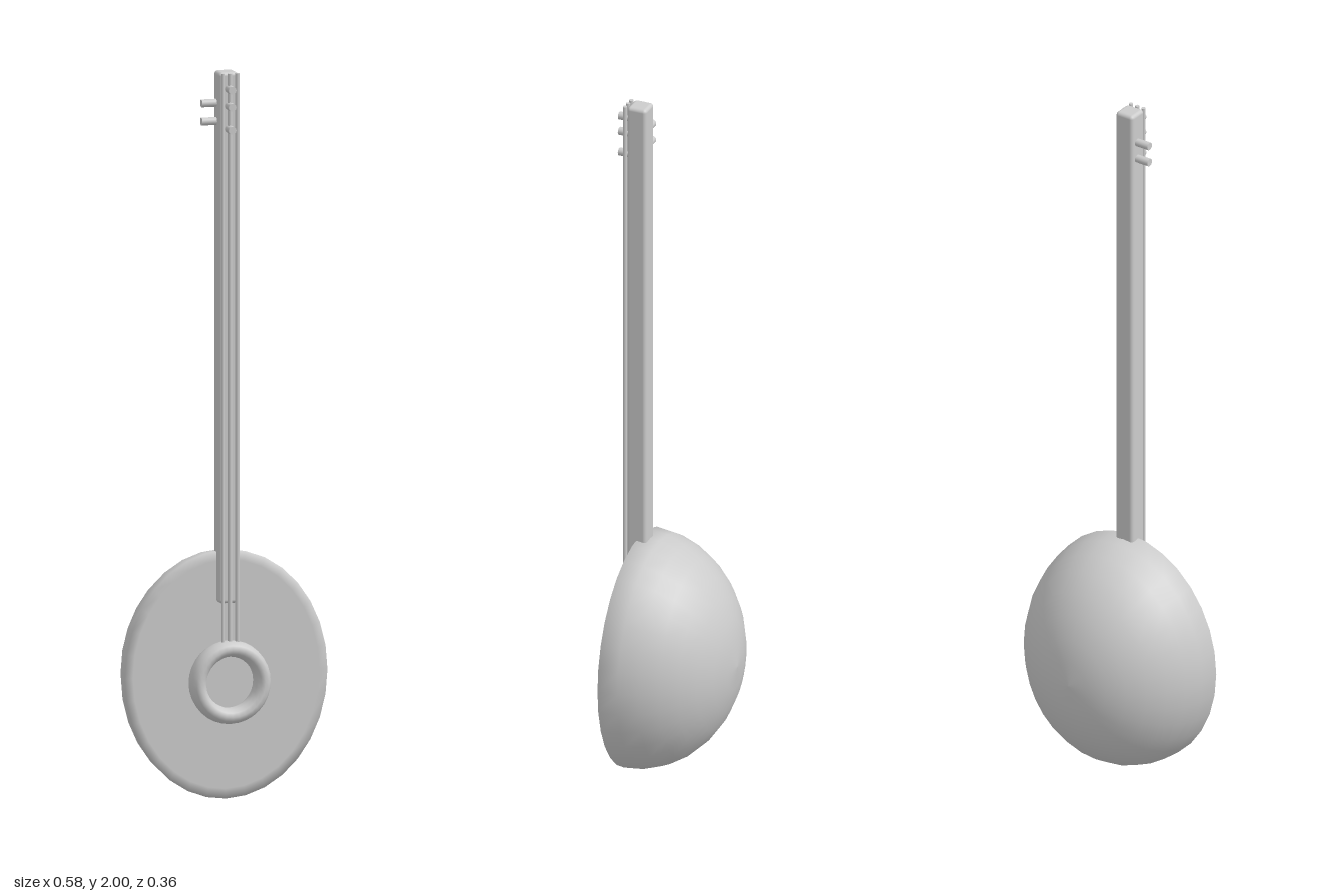
import * as THREE from 'three';
import { RoundedBoxGeometry } from 'three/addons/geometries/RoundedBoxGeometry.js';

export function createModel() {
  const model = new THREE.Group();
  const material = new THREE.MeshStandardMaterial({ color: 0xcccccc });
  const add = (name, geometry, x, y, z) => {
    const mesh = new THREE.Mesh(geometry, material);
    mesh.name = name;
    mesh.position.set(x, y, z);
    model.add(mesh);
    return mesh;
  };

  // Bowl: half ellipsoid with a flat soundboard, softly shaded at its rim
  const faceZ = 0.11, radius = 0.288, halfHeight = 0.342;
  const profile = [];
  for (let i = 0; i <= 8; i++) {
    const a = (i / 8) * Math.PI / 2;
    profile.push(new THREE.Vector2(radius * Math.sin(a), -radius * Math.cos(a)));
  }
  profile.push(new THREE.Vector2(radius * 0.92, 0), new THREE.Vector2(0, 0));
  const bowl = new THREE.LatheGeometry(profile, 32);
  bowl.rotateX(Math.PI / 2);
  bowl.scale(1, halfHeight / radius, 1);
  add('body', bowl, 0, halfHeight, faceZ);

  // Raised ring on the soundboard, deeper than it is wide
  const ring = new THREE.TorusGeometry(0.0925, 0.0225, 12, 32);
  ring.scale(1, 1, 1.6);
  add('soundRing', ring, 0, 0.325, 0.142);

  // Neck
  add('neck', new RoundedBoxGeometry(0.057, 1.46, 0.057, 3, 0.01), 0, 1.27, 0.11);

  // Strings from the ring to the top of the neck
  for (const x of [-0.02, 0.001, 0.022]) {
    add('string', new THREE.CylinderGeometry(0.006, 0.006, 1.57, 10), x, 1.213, 0.146);
  }

  // Tuning pegs: three facing forward, two on the side
  const peg = (x, y, z, length) =>
    add('tuningPeg', new THREE.CylinderGeometry(0.011, 0.011, length, 12), x, y, z);
  for (const y of [1.955, 1.908, 1.845]) {
    peg(0, y, 0.15, 0.045).rotation.x = Math.PI / 2;
  }
  for (const y of [1.913, 1.863]) {
    peg(-0.045, y, 0.105, 0.05).rotation.z = Math.PI / 2;
  }

  return model;
}
